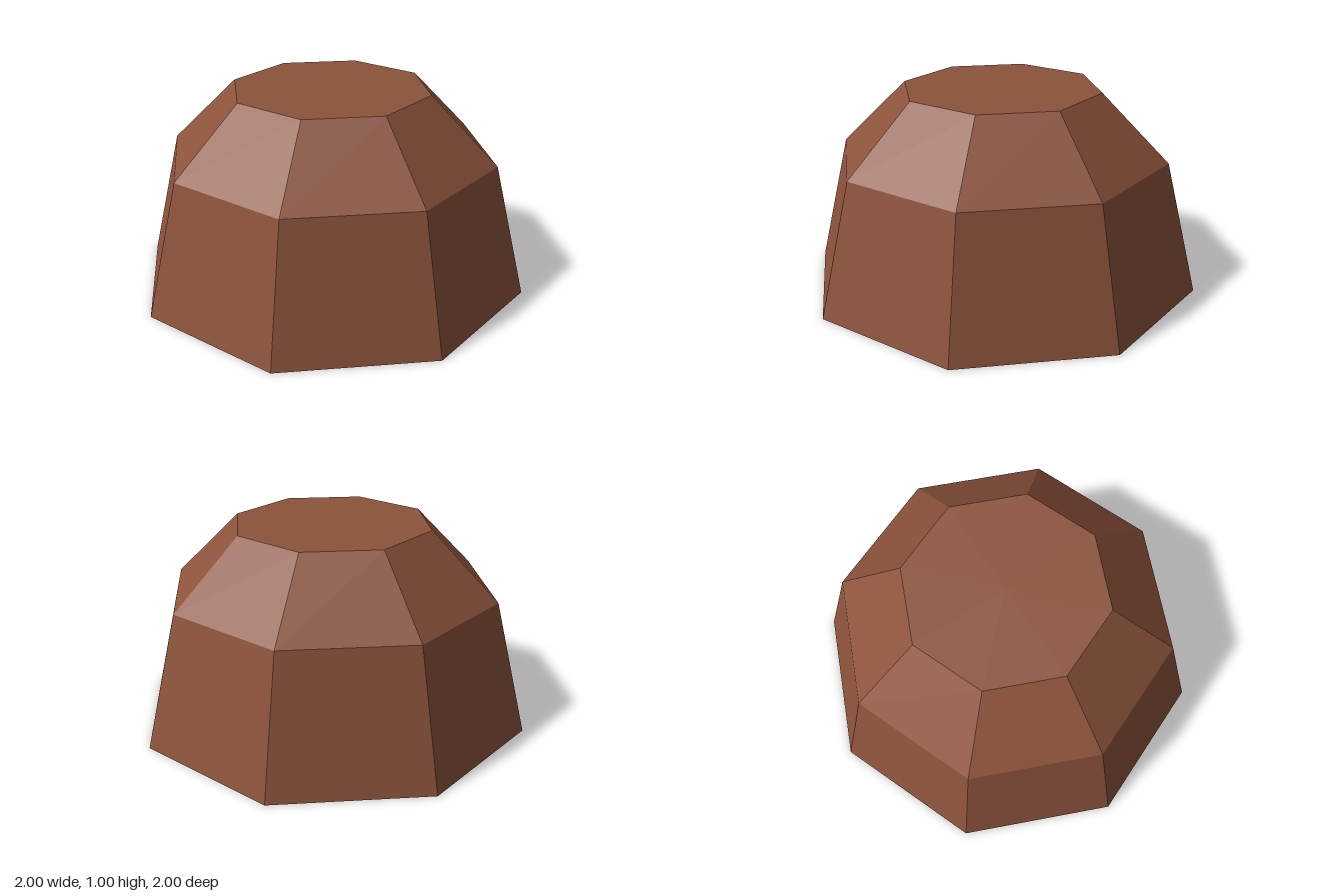
import * as THREE from 'three';

const SIDES = 8;

export function createModel() {
  const brown = new THREE.MeshStandardMaterial({ color: 0x8d533c, flatShading: true });
  brown.name = 'brown';
  const grey = new THREE.MeshStandardMaterial({ color: 0xcccabf, flatShading: true });
  grey.name = 'paleGrey';

  const model = new THREE.Group();
  model.name = 'facetedMound';

  const add = (name, geometry, material) => {
    const mesh = new THREE.Mesh(geometry, material);
    mesh.name = name;
    model.add(mesh);
  };

  // Steep lower wall and sloping shoulder, each an open eight-sided band
  const bands = [
    { name: 'lowerWall', bottom: 1, top: 0.835, y0: 0, y1: 0.667 },
    { name: 'shoulder', bottom: 0.835, top: 0.5, y0: 0.667, y1: 1 },
  ];
  for (const { name, bottom, top, y0, y1 } of bands) {
    const band = new THREE.CylinderGeometry(top, bottom, y1 - y0, SIDES, 1, true);
    add(name, band.translate(0, (y0 + y1) / 2, 0), brown);
  }

  // Flat top
  add('topCap', new THREE.CircleGeometry(0.5, SIDES).rotateX(-Math.PI / 2).translate(0, 1, 0), brown);

  // Flat underside
  add('underside', new THREE.CircleGeometry(1, SIDES).rotateX(Math.PI / 2), grey);

  return model;
}
